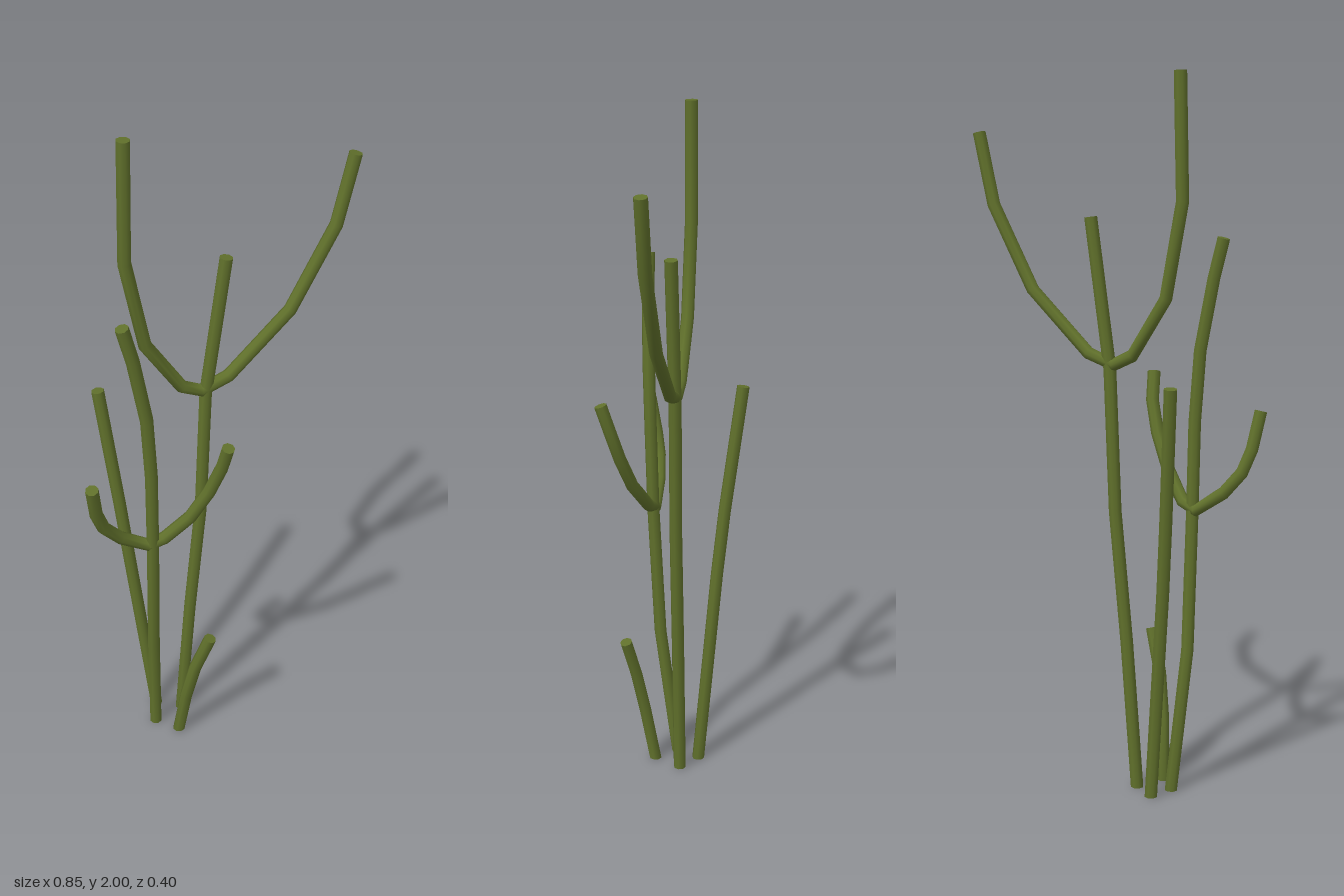
import * as THREE from 'three';

const RADIUS = 0.0185;
const SIDES = 8;
const green = new THREE.MeshStandardMaterial({ color: 0x60702b });
green.name = 'cactus green';

// Straight segments between points, with mitred joints
class Polyline extends THREE.Curve {
  constructor(points) {
    super();
    this.points = points.map((p) => new THREE.Vector3(...p));
  }
  getPointAt(u, target = new THREE.Vector3()) {
    const p = this.points, s = u * (p.length - 1);
    const i = Math.min(Math.floor(s + 1e-6), p.length - 2);
    return target.lerpVectors(p[i], p[i + 1], s - i);
  }
  getTangentAt(u, target = new THREE.Vector3()) {
    const p = this.points, i = Math.round(u * (p.length - 1));
    if (i === 0 && p[0].y === 0) return target.set(0, 1, 0); // flat cut on the ground
    target.set(0, 0, 0);
    if (i > 0) target.add(p[i].clone().sub(p[i - 1]).normalize());
    if (i < p.length - 1) target.add(p[i + 1].clone().sub(p[i]).normalize());
    return target.normalize();
  }
}

// Flat end made from one ring of the tube
function endCap(tube, ring, flip) {
  const pos = tube.attributes.position, verts = [];
  const corner = (k) => new THREE.Vector3().fromBufferAttribute(pos, ring * (SIDES + 1) + k);
  for (let k = 1; k < SIDES - 1; k++) {
    const tri = flip ? [0, k + 1, k] : [0, k, k + 1];
    tri.forEach((c) => verts.push(...corner(c).toArray()));
  }
  const geo = new THREE.BufferGeometry();
  geo.setAttribute('position', new THREE.Float32BufferAttribute(verts, 3));
  geo.computeVertexNormals();
  // Face the cap away from the stem
  const inner = new THREE.Vector3().fromBufferAttribute(pos, (ring === 0 ? 1 : ring - 1) * (SIDES + 1));
  const normal = new THREE.Vector3().fromBufferAttribute(geo.attributes.normal, 0);
  return normal.dot(inner.sub(corner(0))) > 0 && !flip ? endCap(tube, ring, true) : geo;
}

function stem(name, points) {
  const group = new THREE.Group();
  group.name = name;
  const n = points.length - 1;
  const tube = new THREE.TubeGeometry(new Polyline(points), n, RADIUS, SIDES, false);
  [['Stalk', tube], ['Base', endCap(tube, 0, false)], ['Tip', endCap(tube, n, false)]].forEach(([part, geo]) => {
    const mesh = new THREE.Mesh(geo, green);
    mesh.name = name + part;
    group.add(mesh);
  });
  return group;
}

export function createModel() {
  const model = new THREE.Group();
  model.name = 'branchingCactus';
  const Z = -0.035; // the tall stem and its arms share one plane
  const flat = (pts) => pts.map(([x, y]) => [x, y, Z]);

  model.add(
    stem('tallStem', flat([[-0.107, 0], [-0.073, 0.42], [-0.035, 0.8], [-0.018, 1.2], [0.042, 1.615]])),
    stem('tallArms', flat([
      [-0.229, 2], [-0.238, 1.66], [-0.19, 1.4], [-0.088, 1.24], [-0.03, 1.212],
      [0.05, 1.24], [0.23, 1.41], [0.357, 1.645], [0.403, 1.845],
    ])),
    stem('middleStem', [
      [-0.203, 0, -0.01], [-0.222, 0.4, 0.05], [-0.223, 0.8, 0.072], [-0.224, 1.05, 0.08],
      [-0.235, 1.25, 0.088], [-0.27, 1.45, 0.097], [-0.297, 1.56, 0.1],
    ]),
    stem('middleArms', [
      [-0.406, 1.09, 0.12], [-0.391, 0.985, 0.097], [-0.368, 0.92, 0.083], [-0.318, 0.86, 0.073],
      [-0.235, 0.803, 0.068], [-0.19, 0.822, 0.078], [-0.125, 0.905, 0.113], [-0.078, 1, 0.138],
      [-0.05, 1.09, 0.16], [-0.042, 1.17, 0.185],
    ]),
    stem('backStem', [[-0.175, 0, -0.08], [-0.23, 0.6, -0.122], [-0.247, 0.8, -0.14], [-0.281, 1.18, -0.184]]),
    stem('shortStem', [[-0.148, 0, 0.05], [-0.132, 0.17, 0.078], [-0.11, 0.3, 0.1], [-0.071, 0.425, 0.123]]),
  );
  return model;
}
